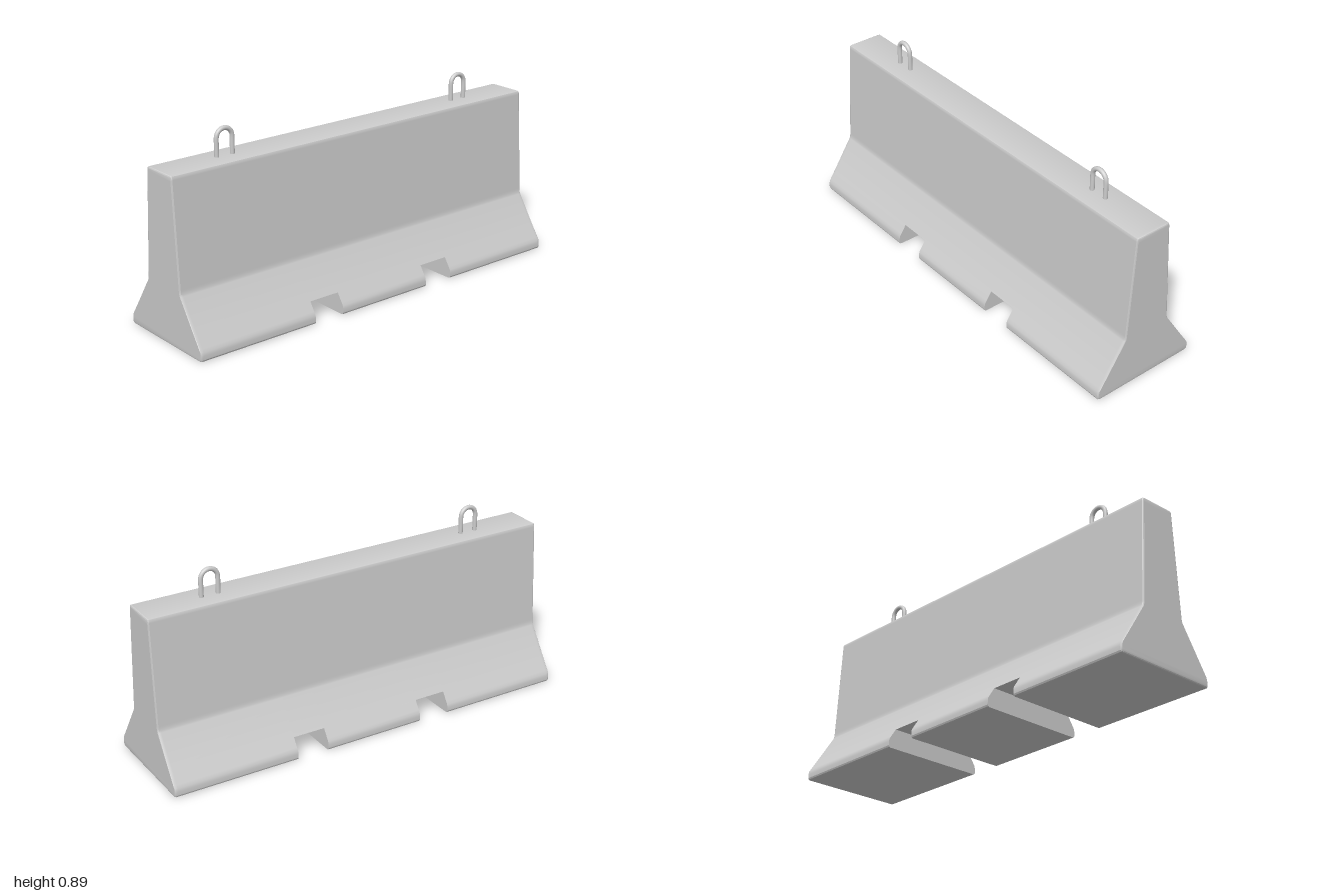
import * as THREE from 'three';
import { toCreasedNormals } from 'three/addons/utils/BufferGeometryUtils.js';

const NOTCH = { y: 0.095, x: 0.224, near: 0.246, far: 0.4 };

// Half of the barrier's cross-section, from the bottom up
const HALF = [
  [0.252, 0], [0.259, 0.003], [0.262, 0.01], [0.262, 0.028], [0.259, 0.042], [0.25, 0.056],
  [NOTCH.x, NOTCH.y], [0.128, 0.241], [0.1245, 0.247], [0.1215, 0.255], [0.1195, 0.267],
  [0.119, 0.276], [0.0905, 0.745], [0.09, 0.753], [0.087, 0.76], [0.081, 0.762],
];

// Closed cross-section at z: inset for the rounded ends, or cut off above a notch
function section(z, inset = 0, notched = false) {
  const right = HALF.map(([x, y]) => {
    if (notched && y < NOTCH.y) [x, y] = [NOTCH.x, NOTCH.y];
    return new THREE.Vector3(x - inset, 0.381 + (y - 0.381) * (1 - inset / 0.381), z);
  });
  const left = right.map((p) => new THREE.Vector3(-p.x, p.y, z)).reverse();
  return [...right, ...left];
}

function barrierGeometry() {
  const { near, far } = NOTCH;
  const stations = [
    section(1, 0.006), section(0.998, 0.002), section(0.994), section(0.985),
    section(far), section(far, 0, true), section(near, 0, true), section(near),
    section(-near), section(-near, 0, true), section(-far, 0, true), section(-far),
    section(-0.985), section(-0.994), section(-0.998, 0.002), section(-1, 0.006),
  ];
  const points = [];
  const tri = (a, b, c) => {
    // Collapsed triangles at the notch corners are left out
    if (new THREE.Triangle(a, b, c).getArea() > 1e-9) points.push(a, b, c);
  };
  const quad = (a, b, c, d) => { tri(a, b, c); tri(a, c, d); };

  // Skin between neighbouring sections, notch walls included
  const n = HALF.length * 2;
  for (let s = 0; s < stations.length - 1; s++) {
    const p = stations[s], q = stations[s + 1];
    for (let i = 0; i < n; i++) {
      const j = (i + 1) % n;
      quad(p[i], q[i], q[j], p[j]);
    }
  }
  // Flat end faces
  const front = stations[0], back = stations[stations.length - 1];
  for (let i = 0; i < HALF.length - 1; i++) {
    quad(front[i], front[i + 1], front[n - 2 - i], front[n - 1 - i]);
    quad(back[n - 1 - i], back[n - 2 - i], back[i + 1], back[i]);
  }
  return toCreasedNormals(new THREE.BufferGeometry().setFromPoints(points), 0.4);
}

// Bent rod shaped like an upside-down U
function loopGeometry() {
  const r = 0.04, springY = 0.842;
  const path = [new THREE.Vector3(0, 0.74, r), new THREE.Vector3(0, 0.8, r)];
  for (let i = 0; i <= 10; i++) {
    const a = (i / 10) * Math.PI;
    path.push(new THREE.Vector3(0, springY + r * Math.sin(a), r * Math.cos(a)));
  }
  path.push(new THREE.Vector3(0, 0.8, -r), new THREE.Vector3(0, 0.74, -r));
  return new THREE.TubeGeometry(new THREE.CatmullRomCurve3(path), 48, 0.0105, 16);
}

export function createModel() {
  const model = new THREE.Group();
  model.name = 'roadBarrier';
  const material = new THREE.MeshStandardMaterial({ color: 0xcccccc });

  const body = new THREE.Mesh(barrierGeometry(), material);
  body.name = 'barrierBody';
  model.add(body);

  // Lifting loops near both ends of the top
  const loop = loopGeometry();
  for (const [name, z] of [['frontLiftingLoop', 0.671], ['backLiftingLoop', -0.671]]) {
    const mesh = new THREE.Mesh(loop, material);
    mesh.name = name;
    mesh.position.set(-0.003, 0, z);
    model.add(mesh);
  }
  return model;
}
